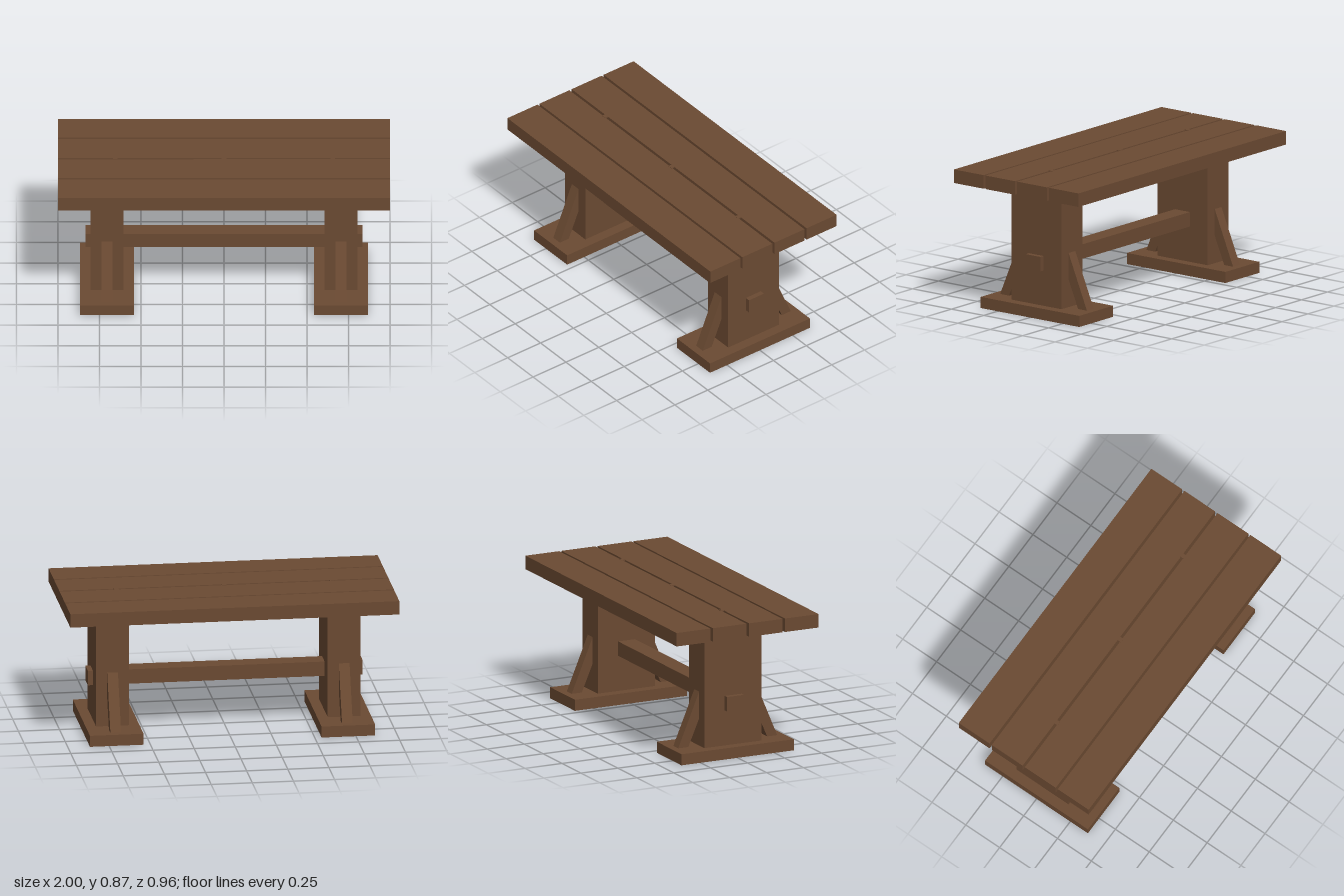
import * as THREE from 'three';

export function createModel() {
  const table = new THREE.Group();
  table.name = 'trestleTable';
  const wood = new THREE.MeshStandardMaterial({ color: 0x6b4a32 });
  wood.name = 'brown wood';

  // Box given by its lower and upper corners
  function box(parent, name, [x0, y0, z0], [x1, y1, z1]) {
    const mesh = new THREE.Mesh(new THREE.BoxGeometry(x1 - x0, y1 - y0, z1 - z0), wood);
    mesh.position.set((x0 + x1) / 2, (y0 + y1) / 2, (z0 + z1) / 2);
    mesh.name = name;
    parent.add(mesh);
  }

  // Table top: four planks with narrow gaps
  for (const z of [-0.366, -0.122, 0.123, 0.366]) {
    box(table, 'plank', [-1, 0.786, z - 0.114], [1, 0.87, z + 0.114]);
  }

  // Small pegs bridging the middle gap
  for (const x of [-0.655, 0, 0.655]) {
    box(table, 'peg', [x - 0.014, 0.864, -0.013], [x + 0.014, 0.872, 0.015]);
  }

  // Long stretcher passing through both posts
  box(table, 'stretcher', [-0.835, 0.288, -0.055], [0.835, 0.378, 0.059]);

  // Slanted brace profile: x is the distance out from the post, y is height
  const profile = new THREE.Shape([
    [0.335, 0.068], [0.193, 0.405], [0.193, 0.24], [0.267, 0.068],
  ].map(([x, y]) => new THREE.Vector2(x, y)));
  const braceWidth = 0.065;
  const braceGeometry = new THREE.ExtrudeGeometry(profile, { depth: braceWidth, bevelEnabled: false });
  braceGeometry.translate(0, 0, -braceWidth / 2);

  // Two trestles: foot, post, and a brace in front and behind
  for (const side of [-1, 1]) {
    const trestle = new THREE.Group();
    trestle.name = side > 0 ? 'leftTrestle' : 'rightTrestle';
    trestle.position.x = side * 0.704;
    box(trestle, 'foot', [-0.163, 0, -0.38], [0.163, 0.069, 0.38]);
    box(trestle, 'post', [-0.1, 0.069, -0.193], [0.1, 0.767, 0.193]);
    for (const facing of [-1, 1]) {
      const brace = new THREE.Mesh(braceGeometry, wood);
      brace.name = facing > 0 ? 'frontBrace' : 'backBrace';
      brace.rotation.y = -facing * Math.PI / 2;
      trestle.add(brace);
    }
    table.add(trestle);
  }
  return table;
}
